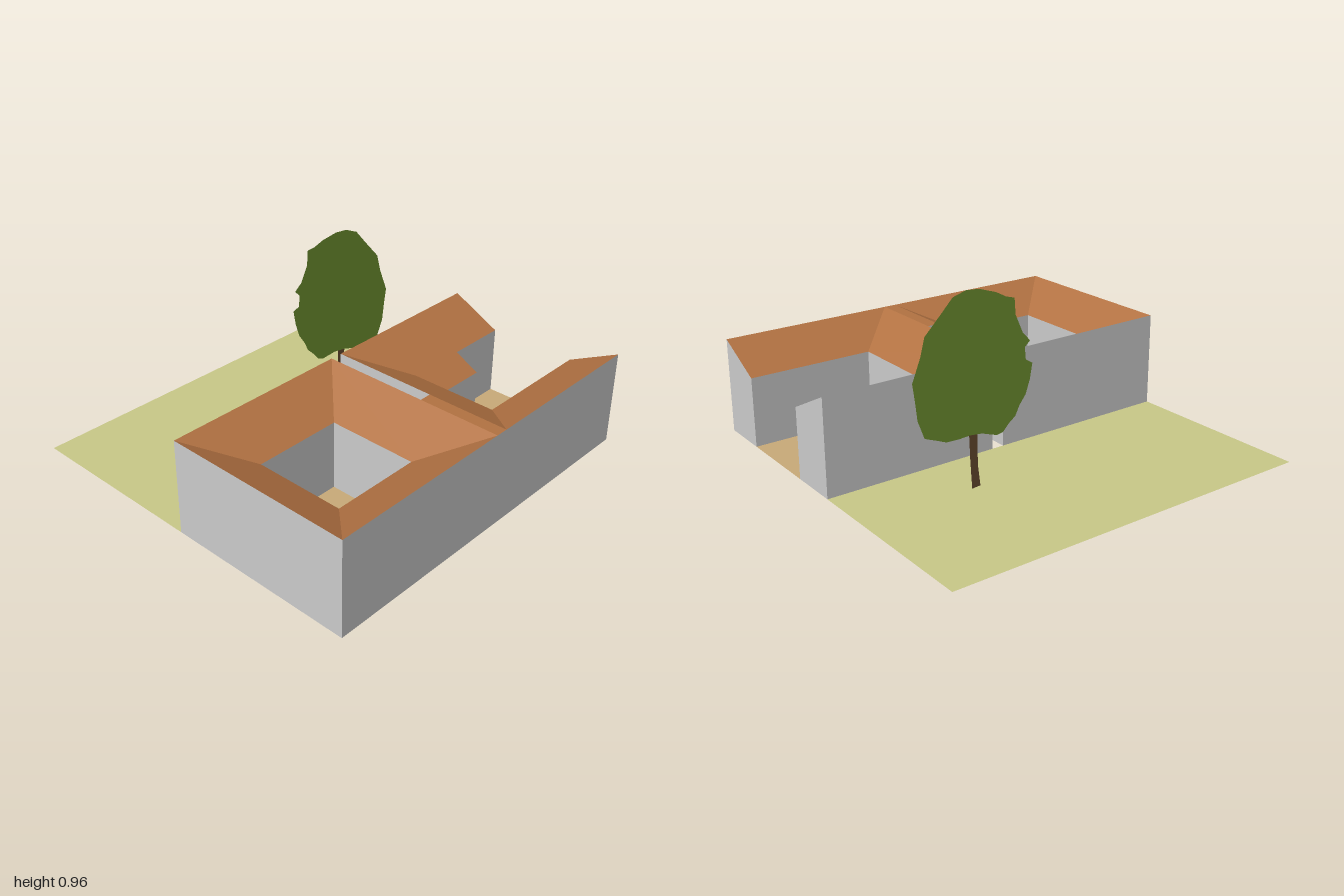
import * as THREE from 'three';

const RIDGE = 0.5, EAVE = 0.3675, LOW = 0.3;
const A = 0.265, B = 0.735;          // near and far edges of the courtyards
const G = 0.065, W = 0.333, S = 0.665; // passage side, second courtyard side, step side

const mat = (color) => new THREE.MeshStandardMaterial({ color, side: THREE.DoubleSide, flatShading: true });

// Flat convex panel from its corners in order
function panel(parent, name, material, corners) {
  const pos = [];
  for (let i = 1; i < corners.length - 1; i++) pos.push(...corners[0], ...corners[i], ...corners[i + 1]);
  const geo = new THREE.BufferGeometry();
  geo.setAttribute('position', new THREE.Float32BufferAttribute(pos, 3));
  geo.computeVertexNormals();
  const mesh = new THREE.Mesh(geo, material);
  mesh.name = name;
  parent.add(mesh);
}

// Horizontal surface at ground level from an [x, z] outline
function floor(parent, name, material, outline, hole) {
  const toPts = (list) => list.map(([x, z]) => new THREE.Vector2(x, z));
  const shape = new THREE.Shape(toPts(outline));
  if (hole) shape.holes.push(new THREE.Path(toPts(hole)));
  const mesh = new THREE.Mesh(new THREE.ShapeGeometry(shape).rotateX(Math.PI / 2), material);
  mesh.name = name;
  parent.add(mesh);
}

// Vertical walls along a closed outline of [x, z, top height]
function walls(parent, name, material, outline) {
  outline.forEach(([x, z, h], i) => {
    const [x2, z2, h2] = outline[(i + 1) % outline.length];
    if (x === x2 && z === z2) return;
    panel(parent, name, material, [[x, 0, z], [x2, 0, z2], [x2, h2, z2], [x, h, z]]);
  });
}

export function createModel() {
  const model = new THREE.Group();
  model.name = 'courtyardHouses';
  const grey = mat(0xcccccc), tile = mat(0xb27242), paving = mat(0xc8aa78);
  const grass = mat(0xc8c888), leaf = mat(0x62812a), bark = mat(0x5a4028);

  // Shared building outline with the narrow passage and the open courtyard
  const outer = [
    [-1, 0, RIDGE], [0, 0, RIDGE], [0, 0.565, RIDGE], [G, 0.565, RIDGE], [G, 0, RIDGE],
    [1, 0, RIDGE], [1, A, EAVE], [S, A, EAVE], [S, 0.4, LOW], [W, 0.4, LOW], [W, 0.4, EAVE],
    [W, B, EAVE], [1, B, EAVE], [1, 1, RIDGE], [-1, 1, RIDGE],
  ];
  const court = [[-B, A, EAVE], [-A, A, EAVE], [-A, B, EAVE], [-B, B, EAVE]];
  const house = new THREE.Group();
  house.name = 'houses';
  model.add(house);
  walls(house, 'outerWall', grey, outer);
  walls(house, 'courtyardWall', grey, court);
  panel(house, 'eaveStepWall', grey, [[W, EAVE, A], [W, LOW, 0.4], [W, EAVE, 0.4]]);
  floor(house, 'foundation', grey, outer.filter((p, i) => i !== 10), court);

  // Closed courtyard roof: four slopes falling inward
  const rim = [[-1, 0], [0, 0], [0, 1], [-1, 1]];
  rim.forEach(([x, z], i) => {
    const j = (i + 1) % 4, [x2, z2] = rim[j];
    panel(house, 'leftHouseRoof', tile, [
      [x, RIDGE, z], [court[i][0], EAVE, court[i][1]],
      [court[j][0], EAVE, court[j][1]], [x2, RIDGE, z2]]);
  });

  // Open courtyard roof, with a lower extension on the back wing
  const roof = (name, corners) => panel(house, name, tile, corners);
  roof('sideWingRoof', [[G, RIDGE, 0], [G, RIDGE, 1], [W, EAVE, B], [W, EAVE, A]]);
  roof('frontWingRoof', [[G, RIDGE, 1], [1, RIDGE, 1], [1, EAVE, B], [W, EAVE, B]]);
  roof('backWingRoof', [[G, RIDGE, 0], [W, EAVE, A], [1, EAVE, A], [1, RIDGE, 0]]);
  roof('backExtensionRoof', [[W, EAVE, A], [W, LOW, 0.4], [S, LOW, 0.4], [S, EAVE, A]]);
  roof('passageCap', [[0, RIDGE, 0.565], [0, RIDGE, 1], [G, RIDGE, 1], [G, RIDGE, 0.565]]);

  // Ground surfaces
  floor(model, 'closedCourtyard', paving, court);
  floor(model, 'openCourtyard', paving, [[W, 0.4], [S, 0.4], [S, A], [1, A], [1, B], [W, B]]);
  floor(model, 'lawn', grass, [[-1, -1], [1, -1], [1, 0], [-1, 0]]);

  // Flat cut-out tree, turned slightly; outlines are [offset, height]
  const tree = new THREE.Group();
  tree.name = 'tree';
  tree.position.set(0.4, 0, -0.31);
  tree.rotation.y = -Math.atan2(0.14, 0.56);
  tree.scale.x = Math.hypot(0.14, 0.56) / 0.56;
  model.add(tree);
  const cutout = (name, material, pts) => {
    const shape = new THREE.Shape(pts.map(([x, y]) => new THREE.Vector2(x, y)));
    const mesh = new THREE.Mesh(new THREE.ShapeGeometry(shape), material);
    mesh.name = name;
    tree.add(mesh);
  };
  cutout('foliage', leaf, [
    [-0.27, 0.5], [-0.282, 0.58], [-0.25, 0.6], [-0.245, 0.66], [-0.27, 0.69], [-0.235, 0.73],
    [-0.2, 0.82], [-0.195, 0.9], [-0.155, 0.91], [-0.11, 0.935], [-0.03, 0.96], [0.03, 0.96],
    [0.09, 0.935], [0.14, 0.87], [0.22, 0.77], [0.24, 0.68], [0.28, 0.56], [0.27, 0.48],
    [0.26, 0.38], [0.23, 0.29], [0.17, 0.27], [0.13, 0.255], [0.07, 0.26], [0.02, 0.27],
    [-0.04, 0.27], [-0.11, 0.25], [-0.14, 0.26], [-0.17, 0.3], [-0.2, 0.33], [-0.22, 0.38], [-0.25, 0.43],
  ]);
  cutout('trunk', bark, [[-0.03, 0.01], [0.01, 0], [0.018, 0.15], [0.022, 0.27], [-0.018, 0.27], [-0.018, 0.12]]);

  return model;
}
